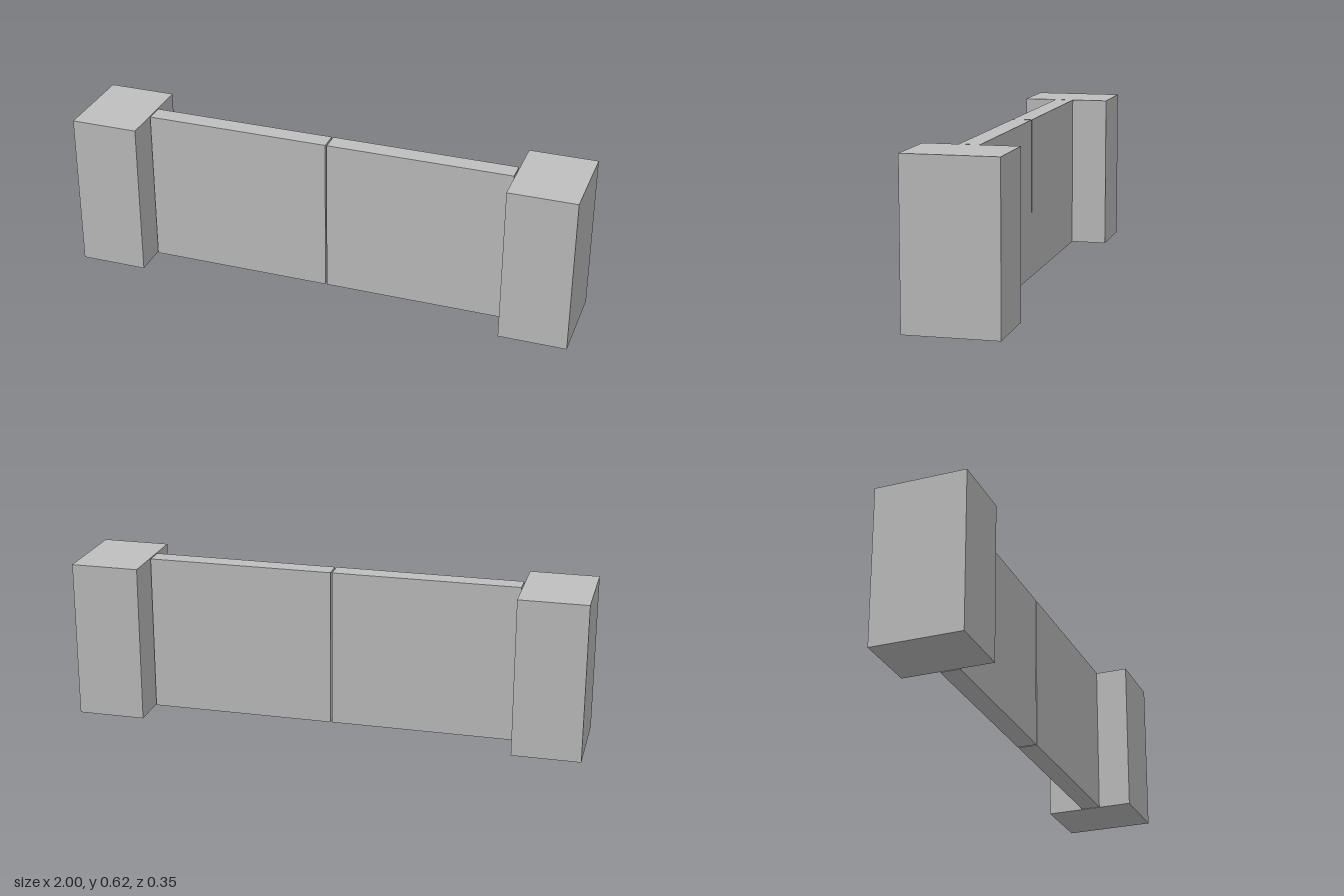
import * as THREE from 'three';

export function createModel() {
  const model = new THREE.Group();
  model.name = 'gate';

  const grey = new THREE.MeshStandardMaterial({ color: 0xbfbfbf });
  grey.name = 'light grey';

  const height = 0.62;

  // Box standing on the ground, given by its x and z extents
  function block(name, x0, x1, z0, z1) {
    const mesh = new THREE.Mesh(new THREE.BoxGeometry(x1 - x0, height, z1 - z0), grey);
    mesh.position.set((x0 + x1) / 2, height / 2, (z0 + z1) / 2);
    mesh.name = name;
    model.add(mesh);
  }

  // End pillars
  block('leftPillar', 0.735, 1, -0.176, 0.176);
  block('rightPillar', -1, -0.735, -0.176, 0.176);

  // Door leaves, set slightly forward with narrow gaps at the centre and pillars
  block('leftDoor', 0.003, 0.731, -0.031, 0.045);
  block('rightDoor', -0.731, -0.003, -0.031, 0.045);

  return model;
}
